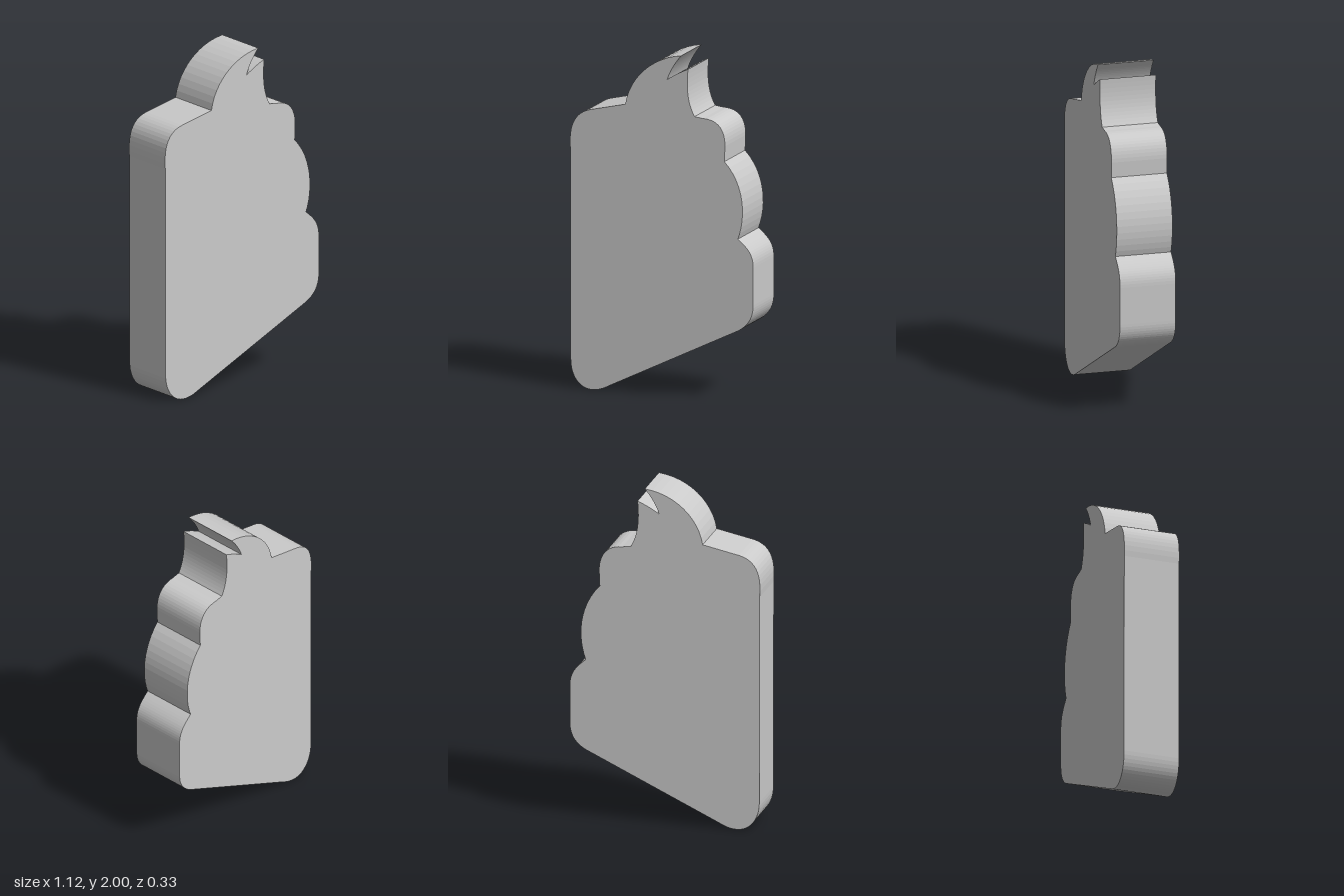
import * as THREE from 'three';

// Outline of the slab, counter-clockwise from the lower left edge
function outline() {
  const s = new THREE.Shape();
  s.moveTo(-0.56, 0.17);
  // rounded lower corner and sloping base
  s.bezierCurveTo(-0.56, 0.07, -0.505, 0, -0.43, 0);
  s.quadraticCurveTo(-0.38, 0, -0.33, 0.028);
  s.lineTo(0.46, 0.41);
  // lowest swirl layer
  s.bezierCurveTo(0.53, 0.445, 0.56, 0.5, 0.56, 0.57);
  s.lineTo(0.56, 0.79);
  s.bezierCurveTo(0.56, 0.865, 0.53, 0.9, 0.466, 0.952);
  // middle swirl layer
  s.bezierCurveTo(0.515, 1.08, 0.51, 1.27, 0.383, 1.4);
  // upper swirl layer
  s.lineTo(0.387, 1.49);
  s.bezierCurveTo(0.387, 1.58, 0.35, 1.643, 0.25, 1.643);
  s.lineTo(0.2, 1.65);
  // split, curling tip
  s.bezierCurveTo(0.16, 1.72, 0.148, 1.8, 0.16, 1.924);
  s.quadraticCurveTo(0.1, 1.9, 0.032, 1.855);
  s.quadraticCurveTo(0.055, 1.925, 0.117, 2);
  s.bezierCurveTo(-0.06, 1.98, -0.2, 1.85, -0.225, 1.69);
  // left shoulder and straight back edge
  s.lineTo(-0.44, 1.642);
  s.bezierCurveTo(-0.53, 1.62, -0.575, 1.55, -0.562, 1.4);
  s.closePath();
  return s;
}

export function createModel() {
  const group = new THREE.Group();
  const depth = 0.333;
  const geometry = new THREE.ExtrudeGeometry(outline(), {
    depth, bevelEnabled: false, curveSegments: 12,
  });
  geometry.translate(0, 0, -depth / 2);
  const slab = new THREE.Mesh(geometry, new THREE.MeshStandardMaterial({ color: 0xcccccc }));
  slab.name = 'swirlSlab';
  group.add(slab);
  return group;
}
